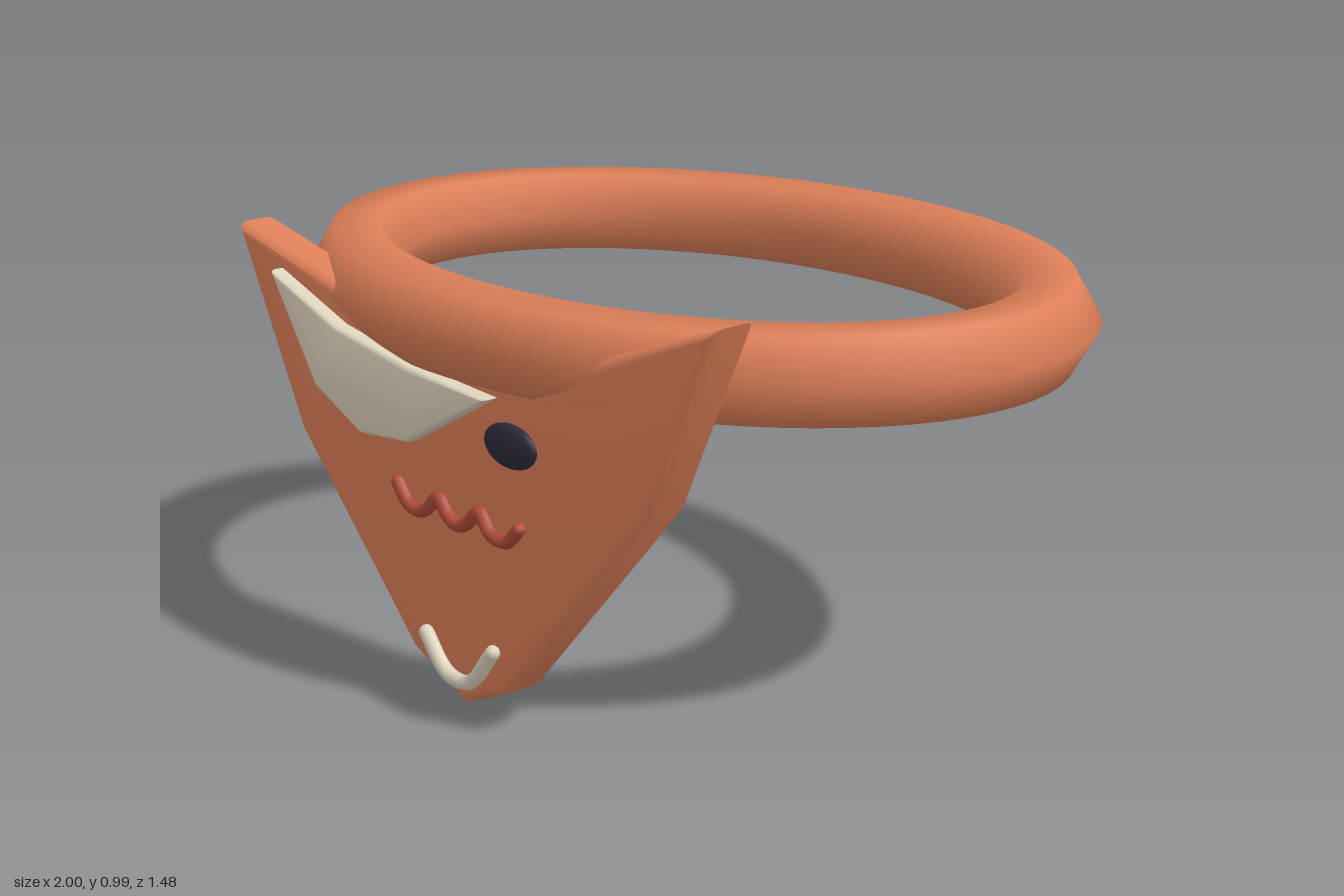
import * as THREE from 'three';
import { mergeVertices, toCreasedNormals } from 'three/addons/utils/BufferGeometryUtils.js';

const paint = (name, color) => {
  const m = new THREE.MeshStandardMaterial({ color });
  m.name = name;
  return m;
};

// Elliptical band: a six-sided torus re-laid along an ellipse with constant tube width
function bandGeometry(a, b, tube) {
  const g = new THREE.TorusGeometry(a, tube, 6, 72);
  const p = g.attributes.position;
  for (let i = 0; i < p.count; i++) {
    const x = p.getX(i), y = p.getY(i);
    const u = Math.atan2(y, x), d = Math.hypot(x, y) - a;
    const n = new THREE.Vector2(b * Math.cos(u), a * Math.sin(u)).normalize();
    p.setXY(i, a * Math.cos(u) + n.x * d, b * Math.sin(u) + n.y * d);
  }
  g.deleteAttribute('uv');
  g.deleteAttribute('normal');
  const merged = mergeVertices(g, 1e-4);
  merged.computeVertexNormals();
  return merged.rotateX(-Math.PI / 2);
}

// Plate with rounded edges, lying between z0 and z1, whose outline is the given points
function plateGeometry(points, z0, z1, bevel) {
  const shape = new THREE.Shape(points.map(([x, y]) => new THREE.Vector2(x, y)));
  const g = new THREE.ExtrudeGeometry(shape, {
    depth: z1 - z0 - 2 * bevel, bevelThickness: bevel, bevelSize: bevel * 0.9,
    bevelOffset: -bevel * 0.9, bevelSegments: 4,
  });
  g.translate(0, 0, z0 + bevel);
  return toCreasedNormals(g, 0.6);
}

export function createModel() {
  const model = new THREE.Group();
  const orange = paint('orange', 0xdd7f58);
  const cream = paint('cream', 0xddd2bc);
  const dark = paint('dark eye', 0x2e2a3a);
  const red = paint('red', 0xb04a3a);

  const add = (name, geometry, material, parent = model) => {
    const mesh = new THREE.Mesh(geometry, material);
    mesh.name = name;
    parent.add(mesh);
    return mesh;
  };

  // Round cord through points on the face, closed by small end caps
  const cord = (name, points, radius, z, material) => {
    const group = new THREE.Group();
    group.name = name;
    const path = points.map(([x, y]) => new THREE.Vector3(x, y, z));
    const curve = new THREE.CatmullRomCurve3(path);
    add(name + 'Cord', new THREE.TubeGeometry(curve, 48, radius, 8), material, group);
    for (const end of [path[0], path[path.length - 1]]) {
      add(name + 'End', new THREE.SphereGeometry(radius, 8, 6), material, group).position.copy(end);
    }
    model.add(group);
  };

  // Head band
  add('headBand', bandGeometry(0.893, 0.635, 0.107), orange).position.y = 0.838;

  // Pointed face plate with two ears; its top middle is sunk into the band
  add('facePlate', plateGeometry([
    [-0.79, 0.945], [-0.575, 0.5], [-0.185, 0.085], [-0.01, 0.005], [0.135, 0.07],
    [0.585, 0.57], [0.775, 0.99], [0.45, 0.87], [0.25, 0.8], [0, 0.78], [-0.2, 0.82], [-0.44, 0.87],
  ], 0.555, 0.665, 0.03), orange);

  // Eye patch
  add('eyePatch', plateGeometry([
    [-0.615, 0.87], [-0.465, 0.635], [-0.305, 0.56], [-0.14, 0.575],
    [0.13, 0.725], [-0.12, 0.743], [-0.38, 0.785],
  ], 0.655, 0.7, 0.012), cream);

  // Eye
  const eye = add('eye', new THREE.SphereGeometry(1, 24, 16), dark);
  eye.scale.set(0.081, 0.048, 0.02);
  eye.position.set(0.187, 0.637, 0.68);

  // Wavy mouth
  cord('mouth', [
    [-0.19, 0.475], [-0.155, 0.435], [-0.12, 0.425], [-0.085, 0.44], [-0.05, 0.472],
    [-0.02, 0.44], [0.015, 0.425], [0.05, 0.44], [0.085, 0.472],
    [0.12, 0.435], [0.15, 0.425], [0.18, 0.43], [0.215, 0.465],
  ], 0.015, 0.685, red);

  // Curved snout tip
  cord('snout', [
    [-0.11, 0.15], [-0.06, 0.09], [-0.03, 0.072], [0.02, 0.07], [0.05, 0.085], [0.115, 0.165],
  ], 0.017, 0.681, cream);

  return model;
}
